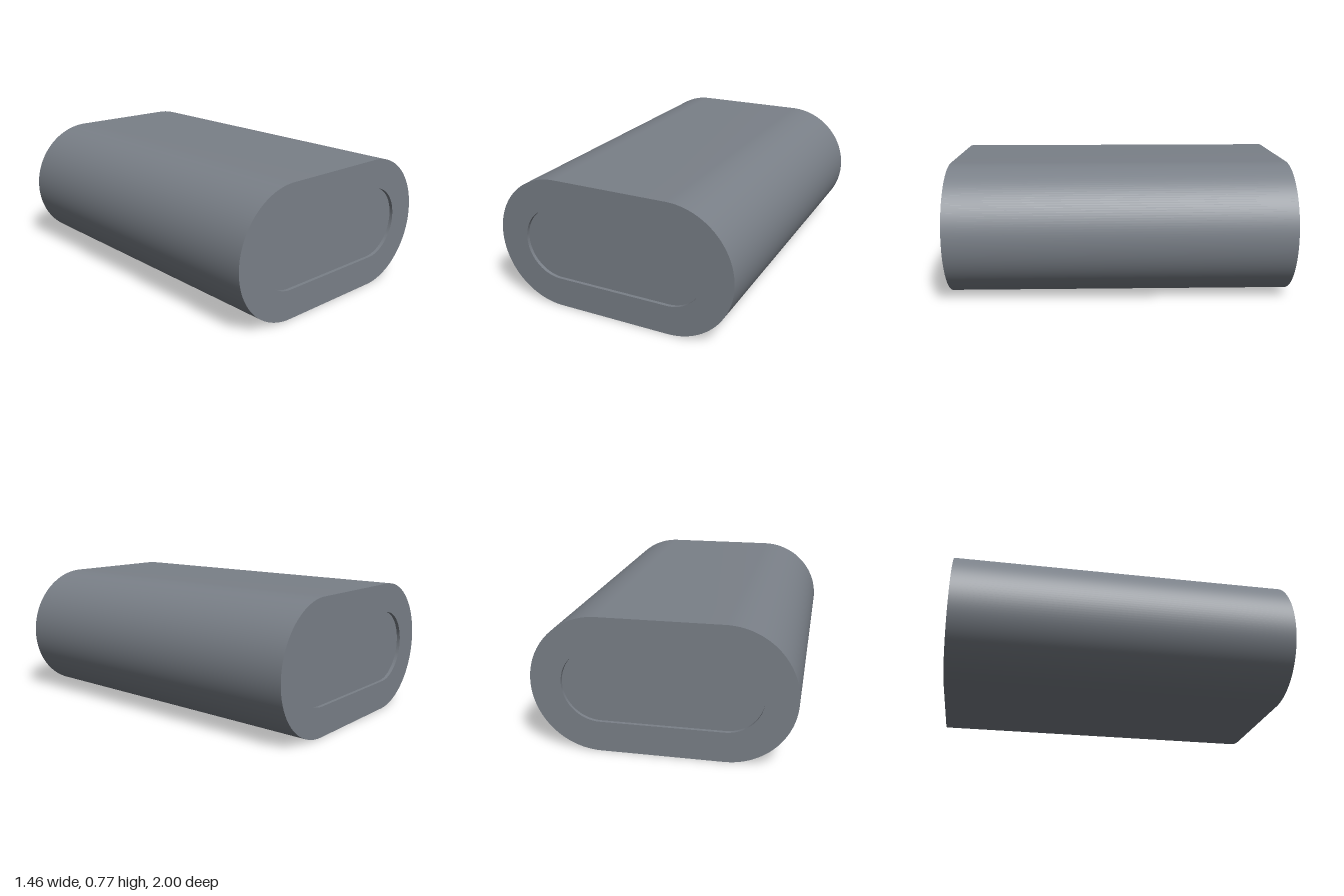
import * as THREE from 'three';
import { toCreasedNormals } from 'three/addons/utils/BufferGeometryUtils.js';

const LENGTH = 2;
const RECESS = 0.02;
const HALF_STRAIGHT = 0.342; // centre of each rounded side
const OUTER_R = 0.386;
const INNER_R = 0.212;

// Stadium outline: two half circles joined by straight edges
function stadium(r, Type = THREE.Shape) {
  const s = new Type();
  s.absarc(HALF_STRAIGHT, 0, r, -Math.PI / 2, Math.PI / 2, false);
  s.absarc(-HALF_STRAIGHT, 0, r, Math.PI / 2, Math.PI * 1.5, false);
  s.closePath();
  return s;
}

// Extrude along z, centred, with smooth sides and sharp rims
function extrude(name, shape, depth, material) {
  const geo = new THREE.ExtrudeGeometry(shape, { depth, bevelEnabled: false, curveSegments: 40 });
  geo.translate(0, OUTER_R, -depth / 2);
  const mesh = new THREE.Mesh(toCreasedNormals(geo, Math.PI / 6), material);
  mesh.name = name;
  return mesh;
}

export function createModel() {
  const group = new THREE.Group();
  group.name = 'roundedBody';
  const material = new THREE.MeshStandardMaterial({ color: 0x7a8088 });

  // Thick outer sleeve, open at both ends
  const sleeveShape = stadium(OUTER_R);
  sleeveShape.holes.push(stadium(INNER_R, THREE.Path));
  group.add(extrude('sleeve', sleeveShape, LENGTH, material));

  // Core filling the sleeve, set slightly back from each end
  group.add(extrude('core', stadium(INNER_R), LENGTH - 2 * RECESS, material));

  return group;
}
